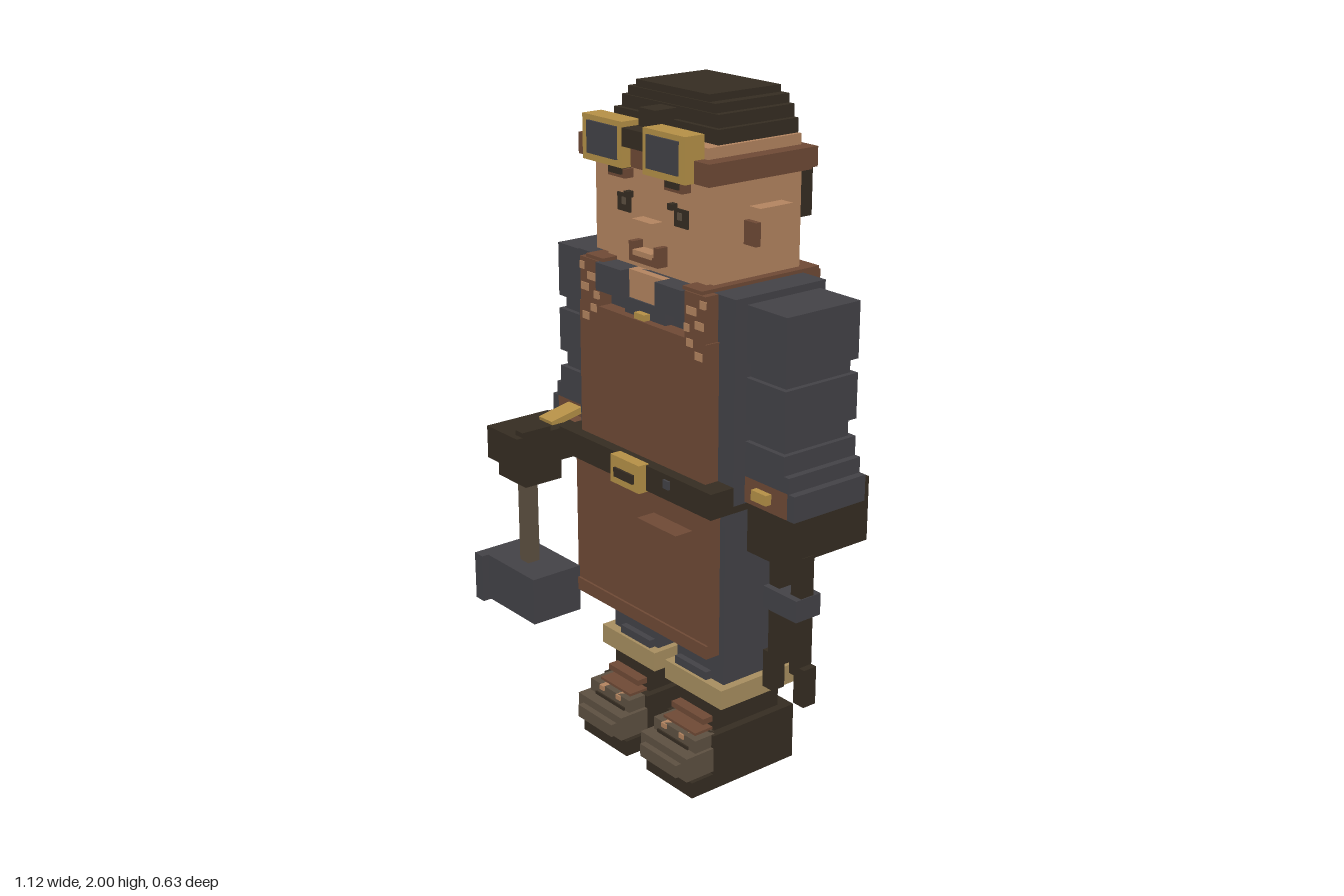
import * as THREE from 'three';

const mat = (name, color) => {
  const m = new THREE.MeshStandardMaterial({ color });
  m.name = name;
  return m;
};

export function createModel() {
  const skin = mat('skin', 0xb48560), leather = mat('leather', 0x6f4a36);
  const dark = mat('darkBrown', 0x362d22), cloth = mat('greyCloth', 0x434247);
  const gold = mat('brass', 0xb69147), tan = mat('tanCuff', 0xa88f60);
  const worn = mat('wornLeather', 0x5d5041);
  const root = new THREE.Group();
  root.name = 'craftsman';
  const C = 0.0175; // symmetry plane of the body

  // Box from its extents
  const box = (name, m, x0, x1, y0, y1, z0, z1) => {
    const mesh = new THREE.Mesh(new THREE.BoxGeometry(x1 - x0, y1 - y0, z1 - z0), m);
    mesh.position.set((x0 + x1) / 2, (y0 + y1) / 2, (z0 + z1) / 2);
    mesh.name = name;
    root.add(mesh);
    return mesh;
  };
  // Mirrored boxes; x is measured outward from the symmetry plane
  const pair = (name, m, a, b, ...r) => {
    box(name + 'Left', m, C + a, C + b, ...r);
    box(name + 'Right', m, C - b, C - a, ...r);
  };
  // Box centred on the symmetry plane
  const mid = (name, m, half, ...r) => box(name, m, C - half, C + half, ...r);

  // Boots
  pair('sole', dark, 0.048, 0.26, 0, 0.05, -0.25, 0.14);
  pair('boot', dark, 0.048, 0.26, 0.05, 0.175, -0.25, 0.06);
  pair('bootShaft', dark, 0.07, 0.235, 0.175, 0.27, -0.21, 0.035);
  pair('toeCap', worn, 0.048, 0.26, 0.06, 0.135, 0.06, 0.16);
  pair('toeRidge', worn, 0.07, 0.235, 0.07, 0.11, 0.16, 0.18);
  pair('bootTongue', worn, 0.06, 0.25, 0.135, 0.175, 0.04, 0.12);
  pair('toeSeam', dark, 0.08, 0.22, 0.135, 0.145, 0.12, 0.125);
  for (const [y, z] of [[0.165, 0.1], [0.2, 0.07]]) {
    pair('lace', leather, 0.08, 0.225, y, y + 0.018, 0.03, z);
  }
  pair('laceEnd', skin, 0.1, 0.12, 0.16, 0.175, 0.1, 0.125);
  pair('laceEndOuter', skin, 0.18, 0.2, 0.16, 0.175, 0.1, 0.125);

  // Trousers
  pair('trouserCuff', tan, 0.025, 0.28, 0.265, 0.325, -0.25, 0.05);
  pair('leg', cloth, 0.045, 0.255, 0.32, 0.9, -0.23, 0.02);
  pair('kneeFold', cloth, 0.06, 0.2, 0.325, 0.35, 0, 0.04);
  mid('hips', cloth, 0.255, 0.82, 0.92, -0.21, 0.03);
  pair('backPocket', cloth, 0.09, 0.21, 0.64, 0.75, -0.25, -0.22);
  pair('pocketButton', dark, 0.135, 0.165, 0.69, 0.715, -0.255, -0.249);

  // Torso
  mid('torso', cloth, 0.345, 0.92, 1.5, -0.25, 0.07);
  mid('backYoke', cloth, 0.305, 1.0, 1.46, -0.28, -0.24);
  mid('backPanel', cloth, 0.105, 1.13, 1.31, -0.3, -0.27);
  for (const y of [1.05, 1.16, 1.27]) mid('backFold', cloth, 0.105, y, y + 0.04, -0.318, -0.27);
  mid('backStitch', leather, 0.07, 1.345, 1.36, -0.288, -0.279);
  pair('backStrap', leather, 0.175, 0.255, 0.92, 1.5, -0.315, -0.24);
  for (let i = 0; i < 7; i++) {
    pair('strapStitch', dark, 0.158, 0.176, 1.06 + i * 0.055, 1.08 + i * 0.055, -0.29, -0.27);
  }
  pair('shoulderStrap', leather, 0.175, 0.255, 1.48, 1.51, -0.31, 0.11);

  // Collar
  pair('collar', cloth, 0.075, 0.19, 1.42, 1.5, 0.06, 0.125);
  mid('shirtFront', cloth, 0.09, 1.375, 1.42, 0.06, 0.1);
  mid('throat', skin, 0.078, 1.405, 1.5, 0.06, 0.095);
  mid('collarButton', gold, 0.022, 1.375, 1.393, 0.1, 0.12);

  // Apron
  mid('apronBib', leather, 0.28, 0.97, 1.37, 0.07, 0.115);
  pair('bibStrap', leather, 0.19, 0.275, 1.36, 1.5, 0.06, 0.115);
  mid('apronSkirt', leather, 0.303, 0.46, 0.91, 0.08, 0.12);
  mid('apronHem', leather, 0.303, 0.46, 0.5, 0.118, 0.127);
  box('apronPocket', leather, 0.08, 0.25, 0.635, 0.825, 0.11, 0.18);
  for (const [a, y, w] of [[0.2, 1.44, 0.04], [0.235, 1.405, 0.035], [0.2, 1.35, 0.025],
    [0.235, 1.32, 0.03], [0.255, 1.465, 0.02], [0.19, 1.39, 0.02]]) {
    pair('strapWear', skin, a, a + w, y, y + 0.022, 0.11, 0.118);
  }

  // Belt
  mid('belt', dark, 0.345, 0.9, 0.975, -0.27, 0.15);
  mid('buckle', gold, 0.065, 0.895, 0.978, 0.14, 0.175);
  mid('bucklePlate', dark, 0.043, 0.918, 0.945, 0.17, 0.182);
  box('beltStud', cloth, 0.165, 0.19, 0.935, 0.96, 0.15, 0.157);

  // Sleeves with folds
  pair('sleeve', cloth, 0.34, 0.485, 1.0, 1.46, -0.215, 0.015);
  for (const [y0, y1] of [[1.32, 1.48], [1.15, 1.28], [1.04, 1.1]]) {
    pair('sleeveFold', cloth, 0.34, 0.5, y0, y1, -0.23, 0.03);
  }
  pair('sleeveEnd', cloth, 0.34, 0.52, 1.0, 1.045, -0.23, 0.03);
  pair('wristband', leather, 0.345, 0.515, 0.925, 1.0, -0.23, 0.03);
  pair('wristPlate', cloth, 0.515, 0.543, 0.925, 1.0, -0.23, 0.03);

  // Left glove with tongs
  box('gloveLeft', dark, 0.37, 0.52, 0.78, 0.93, -0.285, 0.025);
  box('gloveBackLeft', dark, 0.37, 0.52, 0.92, 0.97, -0.285, -0.22);
  box('wristClaspLeft', gold, 0.41, 0.47, 0.95, 0.98, 0.02, 0.05);
  for (const s of [-1, 1]) {
    const x = 0.457 + s * 0.044;
    box('tongArm', dark, x - 0.021, x + 0.021, 0.43, 0.79, -0.085, -0.04);
    const f = 0.457 + s * 0.064;
    box('tongJaw', dark, f - 0.021, f + 0.021, 0.345, 0.46, -0.085, -0.04);
  }
  box('tongPivot', cloth, 0.39, 0.525, 0.605, 0.67, -0.11, -0.02);

  // Right glove reaching forward
  box('wristRight', leather, -0.495, -0.345, 0.88, 0.96, 0, 0.1);
  box('gloveRight', dark, -0.5, -0.345, 0.86, 0.96, 0.07, 0.29);
  box('fingersRight', dark, -0.49, -0.35, 0.8, 0.87, 0.13, 0.26);
  box('thumbRight', dark, -0.38, -0.345, 0.93, 0.975, 0.17, 0.27);
  const clasp = box('wristClaspRight', gold, -0.445, -0.38, 0.963, 0.983, 0.02, 0.14);
  clasp.rotation.x = 0.2;

  // Hammer
  box('hammerHandle', worn, -0.432, -0.39, 0.52, 0.82, 0.19, 0.232);
  box('hammerHead', cloth, -0.525, -0.28, 0.39, 0.535, 0.12, 0.29);
  box('hammerFace', cloth, -0.56, -0.52, 0.385, 0.535, 0.1, 0.312);

  // Head
  mid('neck', skin, 0.215, 1.46, 1.54, -0.22, 0.06);
  mid('head', skin, 0.255, 1.52, 1.8, -0.235, 0.07);
  mid('brow', skin, 0.235, 1.8, 1.88, -0.25, 0.075);
  pair('ear', skin, 0.25, 0.3, 1.6, 1.715, -0.165, -0.05);
  pair('earLobe', leather, 0.25, 0.303, 1.615, 1.68, -0.05, -0.033);
  mid('nose', skin, 0.043, 1.61, 1.65, 0.06, 0.11);
  mid('mouth', leather, 0.063, 1.53, 1.555, 0.06, 0.105);
  pair('mouthCorner', leather, 0.045, 0.063, 1.55, 1.585, 0.06, 0.105);
  mid('lowerLip', skin, 0.04, 1.55, 1.565, 0.06, 0.11);
  pair('eye', dark, 0.095, 0.152, 1.65, 1.7, 0.066, 0.075);
  pair('eyeGlint', worn, 0.112, 0.13, 1.67, 1.69, 0.072, 0.078);
  pair('eyelid', dark, 0.085, 0.105, 1.695, 1.712, 0.066, 0.09);
  pair('eyebrow', leather, 0.085, 0.16, 1.75, 1.775, 0.06, 0.1);
  pair('eyebrowShade', dark, 0.095, 0.15, 1.76, 1.785, 0.06, 0.107);

  // Hair
  for (const [h, y0, y1, z0, z1] of [[0.222, 1.875, 1.92, -0.25, 0.03],
    [0.205, 1.92, 1.955, -0.25, 0.015], [0.185, 1.955, 1.98, -0.25, 0.01],
    [0.155, 1.98, 2.0, -0.245, 0.005]]) mid('hairLayer', dark, h, y0, y1, z0, z1);
  mid('backHair', dark, 0.235, 1.65, 1.8, -0.295, -0.225);
  mid('napeHair', dark, 0.19, 1.6, 1.65, -0.285, -0.225);
  pair('napeTuft', dark, 0.05, 0.13, 1.585, 1.61, -0.275, -0.225);
  for (const x of [-0.1, 0.06, 0.17]) box('hairGap', skin, x, x + 0.025, 1.655, 1.68, -0.301, -0.294);

  // Headband and goggles
  pair('bandSide', leather, 0.23, 0.28, 1.79, 1.85, -0.25, 0.1);
  mid('bandFront', leather, 0.28, 1.79, 1.85, 0.06, 0.11);
  mid('bandBack', leather, 0.28, 1.795, 1.85, -0.27, -0.22);
  pair('goggleFrame', gold, 0.045, 0.22, 1.79, 1.915, 0.075, 0.14);
  pair('goggleLens', cloth, 0.065, 0.195, 1.81, 1.9, 0.139, 0.146);
  mid('goggleBridge', dark, 0.045, 1.85, 1.9, 0.06, 0.14);
  mid('hairTuft', dark, 0.035, 1.89, 1.95, 0, 0.09);

  return root;
}
